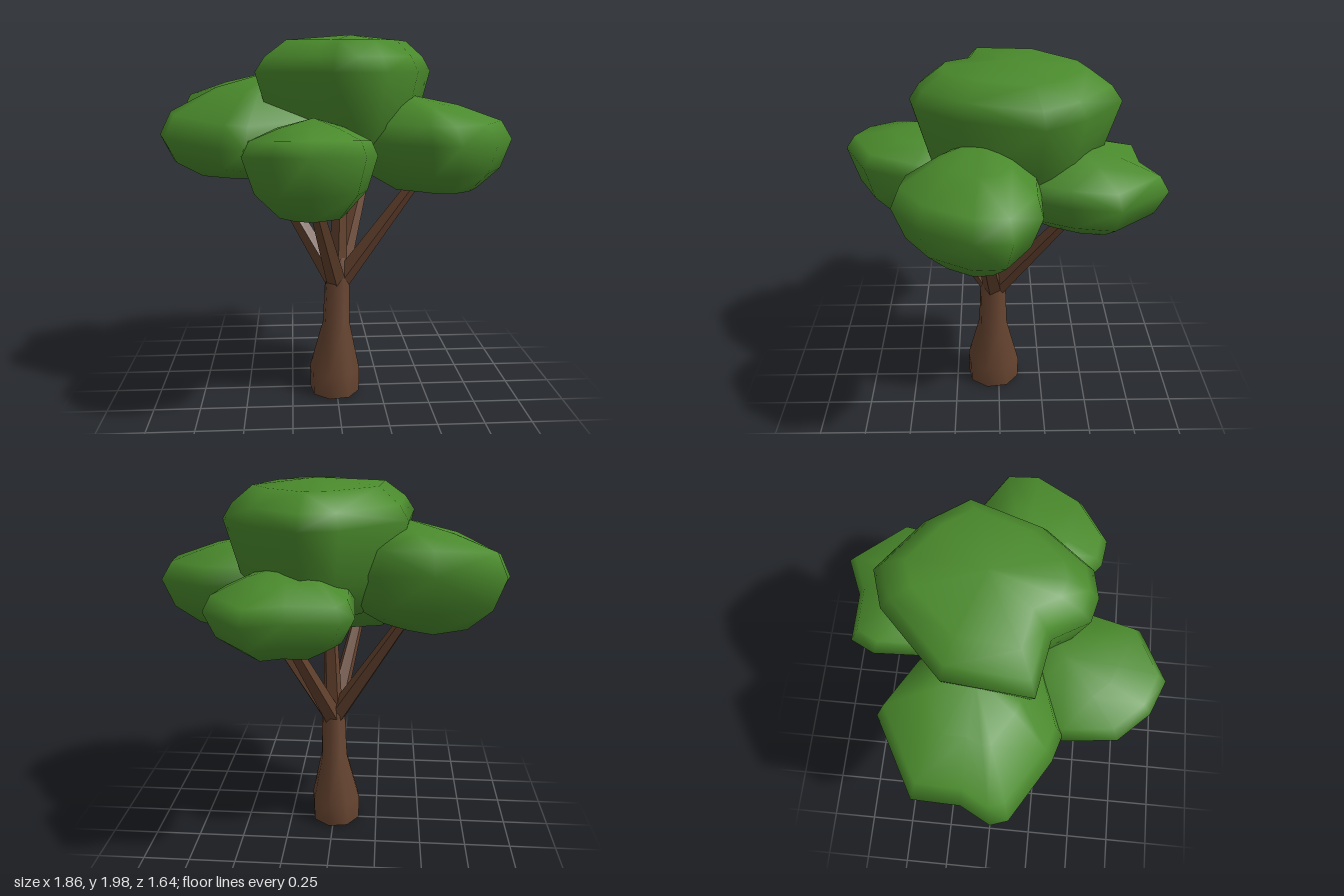
import * as THREE from 'three';

const leaf = new THREE.MeshStandardMaterial({ color: 0x4a8a2c });
const bark = new THREE.MeshStandardMaterial({ color: 0x65432f });
const barkFlat = new THREE.MeshStandardMaterial({ color: 0x65432f, flatShading: true });
const lerp = THREE.MathUtils.lerp;

// Closed skin over rings of equal length, listed bottom to top, with pole points
function skin(rings, bottom, top) {
  const n = rings[0].length, pos = [...bottom], index = [];
  rings.forEach(r => r.forEach(p => pos.push(...p)));
  pos.push(...top);
  const at = (k, i) => 1 + k * n + (i % n), last = 1 + rings.length * n;
  for (let i = 0; i < n; i++) {
    index.push(0, at(0, i), at(0, i + 1));
    for (let k = 0; k < rings.length - 1; k++) {
      const a = at(k, i), b = at(k, i + 1), c = at(k + 1, i), d = at(k + 1, i + 1);
      if ((i + k) % 2) index.push(a, c, b, b, c, d);
      else index.push(a, c, d, a, d, b);
    }
    index.push(last, at(rings.length - 1, i + 1), at(rings.length - 1, i));
  }
  const g = new THREE.BufferGeometry();
  g.setAttribute('position', new THREE.Float32BufferAttribute(pos, 3));
  g.setIndex(index);
  g.computeVertexNormals();
  return g;
}

// Foliage clump: bottom point, rim height, top point, plan outline [x, z];
// tilt raises the rim along z, shoulder is the scale of the uppermost ring
function clump(name, low, rimY, high, outline, tilt = 0, shoulder = 0.5) {
  const cx = (low[0] + high[0]) / 2, cz = (low[2] + high[2]) / 2;
  const pts = outline.slice().sort((a, b) =>
    Math.atan2(a[1] - cz, a[0] - cx) - Math.atan2(b[1] - cz, b[0] - cx));
  const ring = (s, y, c, lift) => pts.map(([x, z]) =>
    [lerp(c[0], x, s), y + lift * tilt * (z - cz), lerp(c[2], z, s)]);
  const rings = [
    ring(0.5, low[1] + 0.02, low, 0),
    ring(0.84, lerp(low[1], rimY, 0.45), low, 0.5),
    ring(1, rimY, low, 1),
    ring(0.9, lerp(rimY, high[1], 0.4), high, 1),
    ring(shoulder, lerp(rimY, high[1], 0.5 + shoulder / 2), high, 0.3),
  ];
  const mesh = new THREE.Mesh(skin(rings, low, high), leaf);
  mesh.name = name;
  return mesh;
}

// Tapered limb between two points
function limb(from, to, r0, r1) {
  const a = new THREE.Vector3(...from), b = new THREE.Vector3(...to);
  const dir = b.clone().sub(a);
  const mesh = new THREE.Mesh(new THREE.CylinderGeometry(r1, r0, dir.length(), 5), barkFlat);
  mesh.position.copy(a).add(b).multiplyScalar(0.5);
  mesh.quaternion.setFromUnitVectors(new THREE.Vector3(0, 1, 0), dir.normalize());
  return mesh;
}

export function createModel() {
  const tree = new THREE.Group();
  tree.name = 'tree';

  // Eight-sided flared trunk: y, radius, x centre (first ring doubled for a sharp base)
  const profile = [[0, 0.14, -0.01], [0, 0.14, -0.01], [0.13, 0.143, -0.01],
    [0.4, 0.077, 0], [0.66, 0.068, 0.005], [0.78, 0.034, 0.02]];
  const trunkRings = profile.map(([y, r, x]) => Array.from({ length: 8 }, (_, i) => {
    const t = (i + 0.3) * Math.PI / 4;
    return [x + r * Math.cos(t), y, 0.033 + 1.08 * r * Math.sin(t)];
  }));
  const trunk = new THREE.Mesh(skin(trunkRings, [-0.01, 0, 0.033], [0.02, 0.79, 0.033]), bark);
  trunk.name = 'trunk';
  tree.add(trunk);

  // Branches spreading into each clump
  const branches = new THREE.Group();
  branches.name = 'branches';
  const ends = { frontBranch: [-0.15, 1.25, 0.48], leftBranch: [0.46, 1.27, 0.1],
    rightBranch: [-0.4, 1.3, -0.13], backBranch: [0.22, 1.28, -0.42], middleBranch: [0.03, 1.45, 0] };
  for (const [name, end] of Object.entries(ends)) {
    const start = [0.005 + end[0] * 0.04, 0.65, 0.03 + end[2] * 0.04];
    const mesh = limb(start, end, 0.056, 0.03);
    mesh.name = name;
    branches.add(mesh);
  }
  tree.add(branches);

  // Canopy: a crown, and side clumps that reach inward beneath it
  const canopy = new THREE.Group();
  canopy.name = 'canopy';
  canopy.add(clump('topFoliage', [0.07, 1.28, -0.06], 1.79, [0.08, 1.98, -0.06],
    [[0.13, -0.6], [-0.06, -0.54], [-0.38, -0.23], [-0.42, 0.19], [-0.14, 0.24],
      [-0.04, 0.41], [0.08, 0.44], [0.22, 0.41], [0.41, 0.18], [0.54, -0.2], [0.4, -0.4]], 0, 0.68));
  canopy.add(clump('frontFoliage', [-0.13, 1.09, 0.44], 1.39, [-0.13, 1.57, 0.32],
    [[-0.49, 0.34], [-0.47, 0.6], [-0.33, 0.75], [-0.16, 0.82], [0.1, 0.69],
      [0.18, 0.43], [0.2, 0.2], [-0.05, 0.02], [-0.38, 0.1]], 0.1));
  canopy.add(clump('leftFoliage', [0.57, 1.16, 0.13], 1.44, [0.34, 1.68, 0.08],
    [[0.92, -0.05], [0.93, 0.12], [0.79, 0.36], [0.58, 0.5], [0.44, 0.48], [0.25, 0.33],
      [0.05, 0.2], [0.02, -0.05], [0.25, -0.2], [0.69, -0.19]]));
  canopy.add(clump('rightFoliage', [-0.53, 1.22, -0.08], 1.49, [-0.34, 1.79, -0.08],
    [[-0.93, 0.04], [-0.86, -0.1], [-0.86, -0.32], [-0.5, -0.52], [-0.24, -0.38],
      [0, -0.15], [-0.05, 0.2], [-0.47, 0.34], [-0.6, 0.3], [-0.9, 0.12]], -0.2));
  canopy.add(clump('backFoliage', [0.24, 1.18, -0.46], 1.41, [0.2, 1.6, -0.36],
    [[0.36, -0.82], [0.58, -0.56], [0.54, -0.33], [0.42, -0.08], [0.12, 0], [-0.12, -0.15],
      [-0.14, -0.62], [-0.08, -0.74], [0.17, -0.74]]));
  tree.add(canopy);
  return tree;
}
